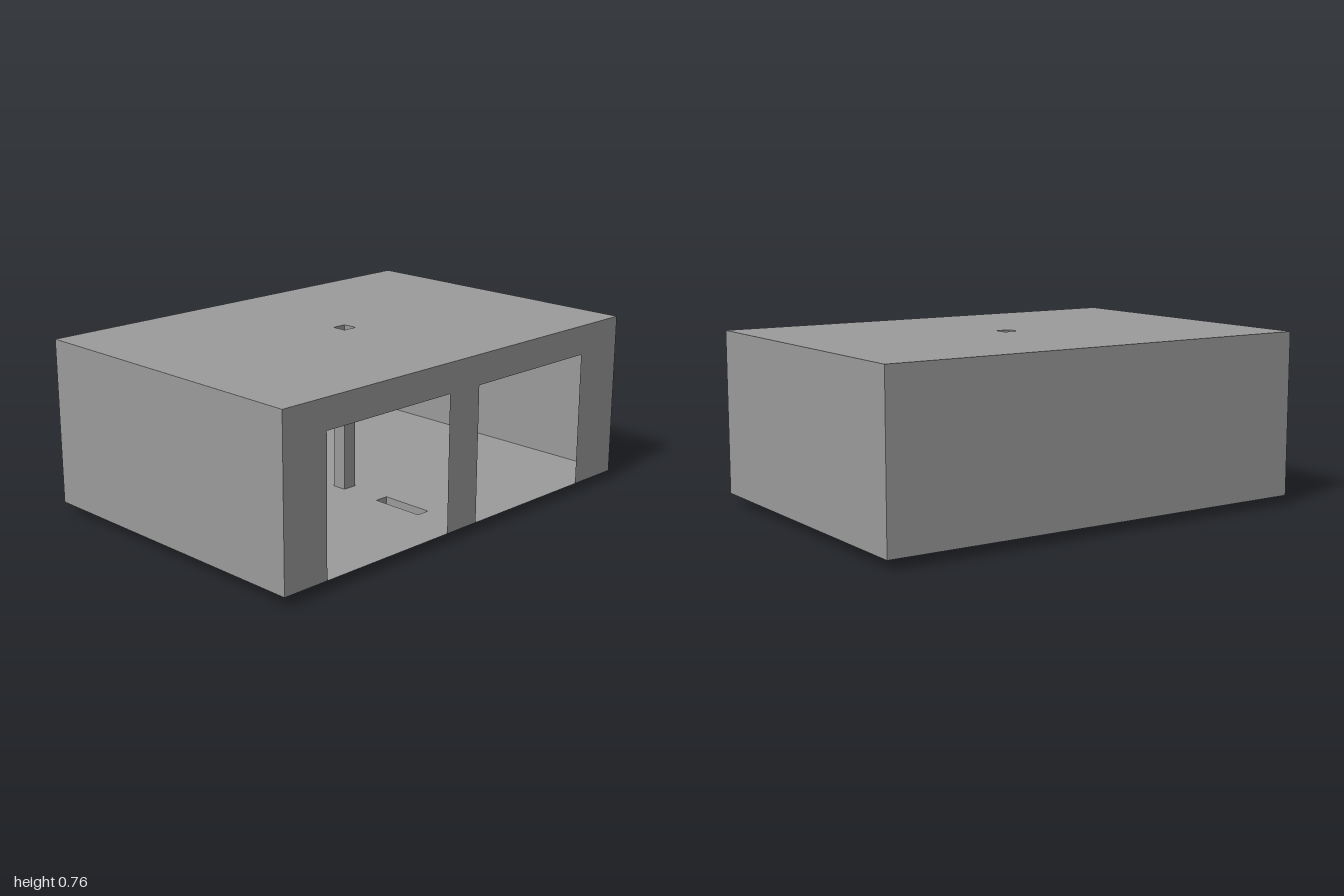
import * as THREE from 'three';

const material = new THREE.MeshStandardMaterial({ color: 0x9c9c9c, flatShading: true, side: THREE.DoubleSide });

const W = 2, D = 1.4, BASE = 0.042, TOP = 0.764, H = TOP - BASE;
const SHAFT = 0.066;                                   // square through-shaft
const SLOT = { w: 0.062, d: 0.244, z: [0.349, -0.345] };  // sunken locating slots
const DOOR = { top: 0.635, spans: [[-0.782, -0.105], [0.072, 0.75]] };

function addMesh(parent, name, geometry) {
  const mesh = new THREE.Mesh(geometry, material);
  mesh.name = name;
  parent.add(mesh);
  return mesh;
}

function rect(PathType, cx, cy, w, h) {
  const p = new PathType();
  p.moveTo(cx - w / 2, cy - h / 2);
  p.lineTo(cx + w / 2, cy - h / 2);
  p.lineTo(cx + w / 2, cy + h / 2);
  p.lineTo(cx - w / 2, cy + h / 2);
  p.closePath();
  return p;
}

// Horizontal sheet with rectangular holes given as [z, width, depth]
function sheet(y, holes, up) {
  const shape = rect(THREE.Shape, 0, 0, W, D);
  const s = up ? -1 : 1;
  for (const [z, w, d] of holes) shape.holes.push(rect(THREE.Path, 0, s * z, w, d));
  return new THREE.ShapeGeometry(shape).rotateX(s * Math.PI / 2).translate(0, y, 0);
}

// Four upright walls without top or bottom
function sleeve(w, d, y0, y1, z = 0) {
  return new THREE.CylinderGeometry(Math.SQRT1_2, Math.SQRT1_2, 1, 4, 1, true)
    .rotateY(Math.PI / 4)
    .scale(w, y1 - y0, d)
    .translate(0, (y0 + y1) / 2, z);
}

export function createModel() {
  const group = new THREE.Group();
  group.name = 'openFrontBox';

  // Roof and floor
  const shaftHole = [0, SHAFT, SHAFT];
  addMesh(group, 'roof', sheet(TOP, [shaftHole], true));
  addMesh(group, 'floor', sheet(BASE, [shaftHole, ...SLOT.z.map(z => [z, SLOT.w, SLOT.d])], false));

  // Plain back and side walls
  const midY = (BASE + TOP) / 2;
  addMesh(group, 'backWall', new THREE.PlaneGeometry(W, H).rotateY(Math.PI).translate(0, midY, -D / 2));
  for (const [name, s] of [['leftWall', 1], ['rightWall', -1]]) {
    addMesh(group, name, new THREE.PlaneGeometry(D, H).rotateY(s * Math.PI / 2).translate(s * W / 2, midY, 0));
  }

  // Front wall notched by two doorways that reach the floor
  const front = new THREE.Shape();
  front.moveTo(-W / 2, BASE);
  for (const [x0, x1] of DOOR.spans) {
    front.lineTo(x0, BASE);
    front.lineTo(x0, DOOR.top);
    front.lineTo(x1, DOOR.top);
    front.lineTo(x1, BASE);
  }
  front.lineTo(W / 2, BASE);
  front.lineTo(W / 2, TOP);
  front.lineTo(-W / 2, TOP);
  front.closePath();
  addMesh(group, 'frontWall', new THREE.ShapeGeometry(front).translate(0, 0, D / 2));

  // Hollow shaft from roof to floor
  addMesh(group, 'centreShaft', sleeve(SHAFT, SHAFT, BASE, TOP));

  // Slots sunk through the floor, showing as tabs underneath
  SLOT.z.forEach((z, i) => {
    const tab = new THREE.Group();
    tab.name = i ? 'backTab' : 'frontTab';
    addMesh(tab, 'tabSides', sleeve(SLOT.w, SLOT.d, 0, BASE, z));
    addMesh(tab, 'tabBottom', new THREE.PlaneGeometry(SLOT.w, SLOT.d).rotateX(Math.PI / 2).translate(0, 0, z));
    group.add(tab);
  });

  return group;
}
